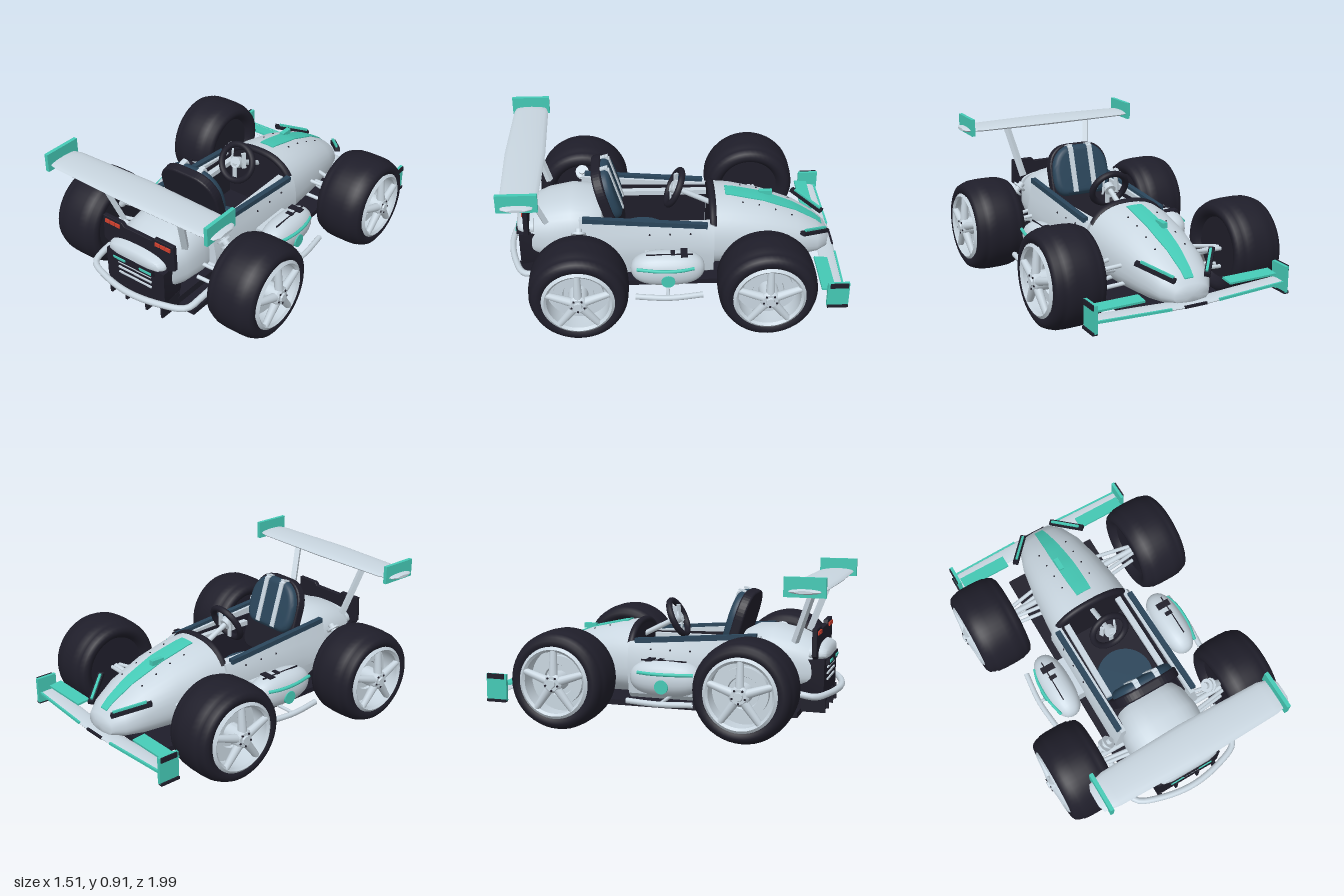
import * as THREE from 'three';
import { toCreasedNormals } from 'three/addons/utils/BufferGeometryUtils.js';

const mat = (name, color) => Object.assign(new THREE.MeshStandardMaterial({ color, side: THREE.DoubleSide }), { name });
const V = (p) => new THREE.Vector3(...p);

// Skin closed rings of [x, y, z], counterclockwise seen from +z, running toward +z
function loft(rings, crease = 0.7) {
  const n = rings[0].length, pos = [], idx = [];
  rings.forEach((r) => r.forEach((p) => pos.push(...p)));
  for (let i = 0; i < rings.length - 1; i++) for (let j = 0; j < n; j++) {
    const k = (j + 1) % n, a = i * n + j, b = i * n + k;
    idx.push(a, b, b + n, a, b + n, a + n);
  }
  [0, rings.length - 1].forEach((i) => {
    const c = pos.length / 3;
    pos.push(...[0, 1, 2].map((q) => rings[i].reduce((t, p) => t + p[q], 0) / n));
    for (let j = 0; j < n; j++) {
      const a = i * n + j, b = i * n + (j + 1) % n;
      idx.push(...(i ? [c, a, b] : [c, b, a]));
    }
  });
  const g = new THREE.BufferGeometry();
  g.setAttribute('position', new THREE.Float32BufferAttribute(pos, 3));
  g.setIndex(idx);
  return toCreasedNormals(g, crease);
}

// Superellipse ring: z, half width, bottom, widest height, top
const N = 2.4;
function ring([z, w, yb, yc, yt], x0 = 0, n = N, count = 36) {
  return Array.from({ length: count }, (_, j) => {
    const t = (j / count) * Math.PI * 2, c = Math.cos(t), s = Math.sin(t);
    const f = (v) => Math.sign(v) * Math.abs(v) ** (2 / n);
    return [x0 + w * f(c), yc + (s > 0 ? yt - yc : yc - yb) * f(s), z];
  });
}

const NOSE = [
  [-0.96, 0.05, 0.19, 0.22, 0.25], [-0.945, 0.11, 0.17, 0.22, 0.28], [-0.88, 0.16, 0.15, 0.23, 0.34],
  [-0.75, 0.205, 0.13, 0.26, 0.42], [-0.55, 0.24, 0.12, 0.28, 0.5], [-0.35, 0.262, 0.12, 0.3, 0.545],
  [-0.23, 0.27, 0.12, 0.3, 0.555],
];
function noseTop(x, z) {
  let i = 0;
  while (i < NOSE.length - 2 && NOSE[i + 1][0] < z) i++;
  const t = (z - NOSE[i][0]) / (NOSE[i + 1][0] - NOSE[i][0]);
  const [, w, , yc, yt] = NOSE[i].map((v, k) => v + (NOSE[i + 1][k] - v) * t);
  return yc + (yt - yc) * (1 - Math.min(1, Math.abs(x / w)) ** N) ** (1 / N);
}

export function createModel() {
  const silver = mat('silver', 0xc9d6e0), dark = mat('charcoal', 0x1f1e2a), teal = mat('teal', 0x45cab6);
  const blue = mat('deep blue', 0x2a455a), red = mat('red', 0xd0402e);
  const car = new THREE.Group();
  car.name = 'openWheelCar';
  const add = (name, geo, m, parent = car) => {
    const o = new THREE.Mesh(geo, m);
    o.name = name;
    parent.add(o);
    return o;
  };
  const box = (name, size, p, m, parent) => {
    const o = add(name, new THREE.BoxGeometry(...size), m, parent);
    o.position.set(...p);
    return o;
  };
  const beam = (name, a, b, w, h, m, parent) => {
    const o = box(name, [w, h, V(a).distanceTo(V(b))], V(a).lerp(V(b), 0.5).toArray(), m, parent);
    o.lookAt(V(b));
    return o;
  };
  const rod = (name, a, b, r, m, parent, r2 = r) => {
    const d = V(b).sub(V(a)), o = add(name, new THREE.CylinderGeometry(r2, r, d.length(), 12), m, parent);
    o.position.copy(V(a)).addScaledVector(d, 0.5);
    o.quaternion.setFromUnitVectors(new THREE.Vector3(0, 1, 0), d.normalize());
    return o;
  };
  const tube = (name, pts, r, m) =>
    add(name, new THREE.TubeGeometry(new THREE.CatmullRomCurve3(pts.map(V)), 40, r, 10), m);

  // Floor and diffuser
  box('floor', [0.61, 0.032, 1.57], [0, 0.097, -0.005], dark);
  box('rearFloor', [0.4, 0.055, 0.78], [0, 0.13, 0.39], dark);
  [-0.19, -0.075, 0.075, 0.19].forEach((x) => box('diffuserFin', [0.014, 0.1, 0.15], [x, 0.145, 0.845], dark));

  // Nose with stripe, rivets, dash and cowl lip
  add('nose', loft(NOSE.map((s) => ring(s))), silver);
  add('dash', loft([-0.232, -0.222].map((z) => ring([z, 0.262, 0.13, 0.3, 0.55]))), dark);
  tube('cowlLip', ring([-0.238, 0.256, 0.12, 0.3, 0.548]).slice(3, 16), 0.022, dark);
  add('noseStripe', loft(Array.from({ length: 14 }, (_, i) => {
    const z = -0.92 + i * 0.0462, w = 0.028 + 0.025 * Math.sin((i / 13) * 2.2);
    const top = [w, w / 2, 0, -w / 2, -w].map((x) => [x, noseTop(x, z) + 0.006, z]);
    return [[-w, noseTop(w, z) - 0.003, z], [w, noseTop(w, z) - 0.003, z], ...top];
  })), teal);
  box('noseFin', [0.03, 0.03, 0.08], [-0.035, 0.505, -0.57], teal);
  for (const s of [1, -1]) for (const z of [-0.72, -0.62, -0.52, -0.42])
    add('rivet', new THREE.SphereGeometry(0.006, 8, 6), dark).position.set(s * 0.095, noseTop(0.095, z) - 0.001, z);

  // Cockpit tub walls, padding and interior
  for (const s of [1, -1]) {
    const rings = [-0.24, -0.1, 0.15, 0.35, 0.55].map((z) => {
      const t = 0.46 + (z + 0.2) * 0.085, yb = z > 0.5 ? 0.23 : 0.12;
      const r = [[0.23, yb], [0.265, yb + 0.03], [0.285, 0.27], [0.285, 0.34], [0.27, 0.42], [0.25, t], [0.22, t], [0.22, yb]]
        .map(([x, y]) => [s * x, y, z]);
      return s > 0 ? r : r.reverse();
    });
    add('tubWall', loft(rings, 0.6), silver);
    beam('cockpitPadding', [s * 0.253, 0.465, -0.2], [s * 0.253, 0.525, 0.53], 0.032, 0.03, blue);
    beam('cockpitLining', [s * 0.216, 0.3, -0.22], [s * 0.216, 0.32, 0.5], 0.012, 0.3, dark);
    beam('cockpitRail', [s * 0.18, 0.43, -0.22], [s * 0.185, 0.43, 0.3], 0.035, 0.03, silver);
    for (const z of [-0.1, 0.02, 0.14])
      add('tubRivet', new THREE.SphereGeometry(0.006, 8, 6), dark).position.set(s * 0.271, 0.42, z);
  }
  box('cockpitFloor', [0.44, 0.05, 0.72], [0, 0.155, 0.12], dark);

  // Seat
  add('seatCushion', new THREE.CylinderGeometry(0.17, 0.185, 0.08, 32), blue).position.set(0, 0.21, 0.18);
  const seat = new THREE.Group();
  seat.name = 'seatBack';
  seat.position.set(0, 0.29, 0.295);
  seat.rotation.x = 0.29;
  car.add(seat);
  const arch = (w, h, y0) => {
    const p = new THREE.Shape();
    p.moveTo(-w * 0.7, y0);
    p.lineTo(w * 0.7, y0);
    p.quadraticCurveTo(w, y0, w, y0 + 0.08);
    p.lineTo(w, h * 0.7);
    p.bezierCurveTo(w, h * 0.88, w * 0.7, h, w * 0.3, h);
    p.lineTo(-w * 0.3, h);
    p.bezierCurveTo(-w * 0.7, h, -w, h * 0.88, -w, h * 0.7);
    p.lineTo(-w, y0 + 0.08);
    p.quadraticCurveTo(-w, y0, -w * 0.7, y0);
    return p;
  };
  const extr = (p, d, b) => new THREE.ExtrudeGeometry(p, { depth: d, bevelThickness: b, bevelSize: b, bevelSegments: 5, curveSegments: 12 });
  add('seatShell', extr(arch(0.19, 0.48, 0), 0.035, 0.012), dark, seat);
  add('seatPad', toCreasedNormals(extr(arch(0.155, 0.445, 0.2), 0.01, 0.035), 0.7), blue, seat).position.z = -0.02;
  for (const s of [1, -1]) {
    box('harnessStrap', [0.032, 0.28, 0.008], [s * 0.065, 0.325, -0.058], silver, seat);
    box('harnessTop', [0.032, 0.008, 0.075], [s * 0.065, 0.48, -0.02], silver, seat);
    beam('harnessBend', [s * 0.065, 0.463, -0.056], [s * 0.065, 0.482, -0.035], 0.032, 0.008, silver, seat);
  }

  // Steering wheel and column
  const steer = new THREE.Group();
  steer.name = 'steeringWheel';
  steer.position.set(0, 0.575, -0.015);
  steer.rotation.x = -0.44;
  car.add(steer);
  add('steeringRim', new THREE.TorusGeometry(0.11, 0.019, 10, 36), dark, steer);
  for (let i = 0; i < 3; i++) {
    const a = -Math.PI / 2 + (i * 2 * Math.PI) / 3;
    beam('steeringSpoke', [0, 0, 0], [0.1 * Math.cos(a), 0.1 * Math.sin(a), 0], 0.025, 0.012, silver, steer);
  }
  rod('steeringHub', [0, 0, -0.02], [0, 0, 0.02], 0.035, silver, steer);
  rod('steeringColumn', [0, 0.575, -0.015], [0, 0.46, -0.24], 0.016, silver);

  // Engine cover and tail
  add('engineCover', loft([
    [0.42, 0.2, 0.2, 0.32, 0.53], [0.48, 0.23, 0.2, 0.32, 0.56], [0.6, 0.245, 0.2, 0.32, 0.565],
    [0.74, 0.235, 0.21, 0.32, 0.535], [0.84, 0.205, 0.22, 0.32, 0.49],
  ].map((s) => ring(s, 0, 2.8))), silver);
  add('tailBulge', loft([
    [0.82, 0.205, 0.39, 0.42, 0.495], [0.89, 0.2, 0.39, 0.42, 0.485], [0.915, 0.18, 0.395, 0.42, 0.47],
    [0.925, 0.13, 0.4, 0.42, 0.45],
  ].map((s) => ring(s))), silver);
  const panel = new THREE.Shape([[-0.22, 0.41], [0.22, 0.41], [0.255, 0.43], [0.25, 0.58], [0.12, 0.58], [0.1, 0.56],
    [-0.1, 0.56], [-0.12, 0.58], [-0.25, 0.58], [-0.255, 0.43]].map((p) => new THREE.Vector2(...p)));
  add('tailPanel', extr(panel, 0.02, 0.004), dark).position.z = 0.85;
  add('tailGrille', loft([[0.76, 0.2], [0.91, 0.21]].map(([z, w]) =>
    [[-w * 0.9, 0.15, z], [w * 0.9, 0.15, z], [w, 0.22, z], [w, 0.4, z], [-w, 0.4, z], [-w, 0.22, z]])), dark);
  [0.275, 0.31, 0.345].forEach((y) => box('grilleSlat', [0.24, 0.01, 0.01], [0, y, 0.913], silver));
  box('tailBar', [0.29, 0.045, 0.02], [0, 0.385, 0.92], dark);
  tube('rearBumper', [[0.36, 0.25, 0.62], [0.36, 0.235, 0.78], [0.34, 0.217, 0.88], [0.21, 0.215, 0.94], [0, 0.215, 0.973],
    [-0.21, 0.215, 0.94], [-0.34, 0.217, 0.88], [-0.36, 0.235, 0.78], [-0.36, 0.25, 0.62]], 0.019, silver);

  // Wings: airfoil rings built along z, turned to span x
  const wing = (name, stations, m) => add(name, loft(stations.map(([x, z, c, y, h]) =>
    ring([x, c, y - h, y, y + h], -z, 2, 20))).rotateY(Math.PI / 2), m);
  wing('rearWing', [[-0.605, 0.86, 0.05, 0.83, 0.008], [-0.59, 0.86, 0.085, 0.83, 0.013], [-0.5, 0.855, 0.105, 0.83, 0.018],
    [0, 0.855, 0.118, 0.832, 0.023], [0.5, 0.855, 0.105, 0.83, 0.018], [0.59, 0.86, 0.085, 0.83, 0.013],
    [0.605, 0.86, 0.05, 0.83, 0.008]], silver);
  wing('frontWing', [[-0.6, -0.925, 0.055, 0.19, 0.008], [-0.3, -0.935, 0.055, 0.18, 0.012], [0, -0.945, 0.05, 0.17, 0.014],
    [0.3, -0.935, 0.055, 0.18, 0.012], [0.6, -0.925, 0.055, 0.19, 0.008]], silver);
  box('wingCentreTrim', [0.14, 0.014, 0.012], [0, 0.175, -0.99], dark);

  for (const s of [1, -1]) {
    [0.145, 0.183, 0.22].forEach((x) => box('tailLight', [0.032, 0.022, 0.02], [s * x, 0.556, 0.872], red));
    box('tailAccent', [0.085, 0.013, 0.008], [s * 0.095, 0.385, 0.932], teal);
    box('rearEndplate', [0.022, 0.108, 0.228], [s * 0.56, 0.852, 0.858], teal);
    beam('rearWingStrut', [s * 0.29, 0.82, 0.86], [s * 0.228, 0.5, 0.745], 0.034, 0.03, silver);
    box('frontEndplate', [0.02, 0.155, 0.125], [s * 0.6, 0.21, -0.93], teal);
    box('endplateFoot', [0.03, 0.015, 0.12], [s * 0.605, 0.132, -0.93], dark);
    beam('endplateCap', [s * 0.613, 0.275, -0.985], [s * 0.613, 0.275, -0.88], 0.008, 0.03, dark);
    beam('frontFlap', [s * 0.425, 0.222, -0.92], [s * 0.425, 0.23, -0.84], 0.31, 0.012, teal);
    beam('frontWingTrim', [s * 0.15, 0.178, -0.99], [s * 0.59, 0.19, -0.975], 0.012, 0.014, teal);
    // Nose light blades
    beam('noseBlade', [s * 0.245, 0.385, -0.765], [s * 0.1, 0.31, -0.94], 0.034, 0.022, dark);
    beam('noseBladeTrim', [s * 0.225, 0.392, -0.785], [s * 0.105, 0.329, -0.93], 0.014, 0.016, teal);

    // Side pods
    add('sidePod', loft(Array.from({ length: 19 }, (_, i) => {
      const u = Math.cos(Math.PI * (1 - i / 18)), k = Math.max(0.02, (1 - Math.abs(u) ** 2.6) ** 0.42);
      return ring([0.04 + 0.215 * u, 0.095 * k, 0.285 - 0.105 * k, 0.285, 0.285 + 0.105 * k], s * 0.405, 2.2, 28);
    })), silver);
    box('podMount', [0.08, 0.1, 0.26], [s * 0.3, 0.27, 0.04], silver);
    tube('podStripe', [[s * 0.475, 0.322, -0.11], [s * 0.497, 0.322, -0.03], [s * 0.5, 0.322, 0.08], [s * 0.475, 0.322, 0.22]], 0.01, teal);
    add('podDisc', new THREE.CylinderGeometry(0.04, 0.04, 0.03, 24).rotateZ(Math.PI / 2), teal).position.set(s * 0.49, 0.25, 0.04);
    box('podVent', [0.085, 0.008, 0.04], [s * 0.41, 0.388, -0.055], dark);
    box('podVentRear', [0.045, 0.008, 0.025], [s * 0.41, 0.39, 0.01], dark);
    box('podSeam', [0.006, 0.008, 0.27], [s * 0.425, 0.387, 0.03], dark);
    tube('sideBar', [[s * 0.518, 0.165, -0.16], [s * 0.535, 0.16, 0.0], [s * 0.535, 0.16, 0.08], [s * 0.522, 0.165, 0.23]], 0.017, silver);
    rod('sideBarStay', [s * 0.27, 0.16, 0.04], [s * 0.53, 0.16, 0.04], 0.01, silver);

    // Suspension and wheels
    for (const zc of [-0.52, 0.55]) {
      for (const y of [0.19, 0.3]) for (const d of [-0.065, 0.065])
        rod('wishbone', [s * 0.46, y - 0.02, zc + d * 0.4], [s * 0.2, y + 0.01, zc + d], 0.012, silver);
      rod('axle', [s * 0.2, 0.265, zc], [s * 0.5, 0.28, zc], 0.018, silver);
      if (zc > 0) {
        rod('shock', [s * 0.43, 0.4, zc], [s * 0.32, 0.51, zc], 0.02, silver);
        for (const t of [0, 0.025])
          rod('shockCollar', [s * (0.37 - t), 0.46 + t, zc], [s * (0.362 - t), 0.468 + t, zc], 0.042, silver);
      }
      const w = wheel(s > 0 ? 'leftWheel' : 'rightWheel');
      w.position.set(s * 0.567, 0.283, zc);
      if (s < 0) w.rotation.y = Math.PI;
      car.add(w);
    }
  }

  // Wheel with its outer face toward +x
  function wheel(name) {
    const g = new THREE.Group();
    g.name = name;
    const lathe = (part, pts, m) => add(part, toCreasedNormals(
      new THREE.LatheGeometry(pts.map((p) => new THREE.Vector2(...p)), 48), 0.7).rotateZ(-Math.PI / 2), m, g);
    lathe('tyre', [[0, -0.11], [0.18, -0.11], [0.195, -0.135], [0.215, -0.152], [0.238, -0.154], [0.258, -0.142],
      [0.272, -0.112], [0.271, -0.102], [0.279, -0.09], [0.283, -0.04], [0.283, 0.04], [0.279, 0.09], [0.271, 0.102],
      [0.272, 0.112], [0.258, 0.142], [0.238, 0.154], [0.215, 0.152], [0.195, 0.135]], dark);
    lathe('rimBarrel', [[0.185, -0.05], [0.18, 0.1], [0.176, 0.15], [0.19, 0.162], [0.206, 0.15]], silver);
    lathe('brakeDisc', [[0.185, 0.04], [0.14, 0.04], [0.14, 0.075], [0.09, 0.075], [0.085, 0.06], [0, 0.06]], silver);
    lathe('hub', [[0.055, 0.05], [0.055, 0.165], [0.042, 0.178], [0.025, 0.178], [0.022, 0.188], [0, 0.188]], silver);
    for (let i = 0; i < 5; i++) {
      const a = Math.PI / 2 + (i * 2 * Math.PI) / 5, b = a + 0.63;
      const at = (x, r, t) => [x, r * Math.sin(t), r * Math.cos(t)];
      rod('spoke', at(0.152, 0.035, a), at(0.142, 0.185, a), 0.026, silver, g, 0.019);
      rod('wheelNut', at(0.16, 0.038, b), at(0.182, 0.038, b), 0.006, dark, g);
    }
    return g;
  }
  return car;
}
